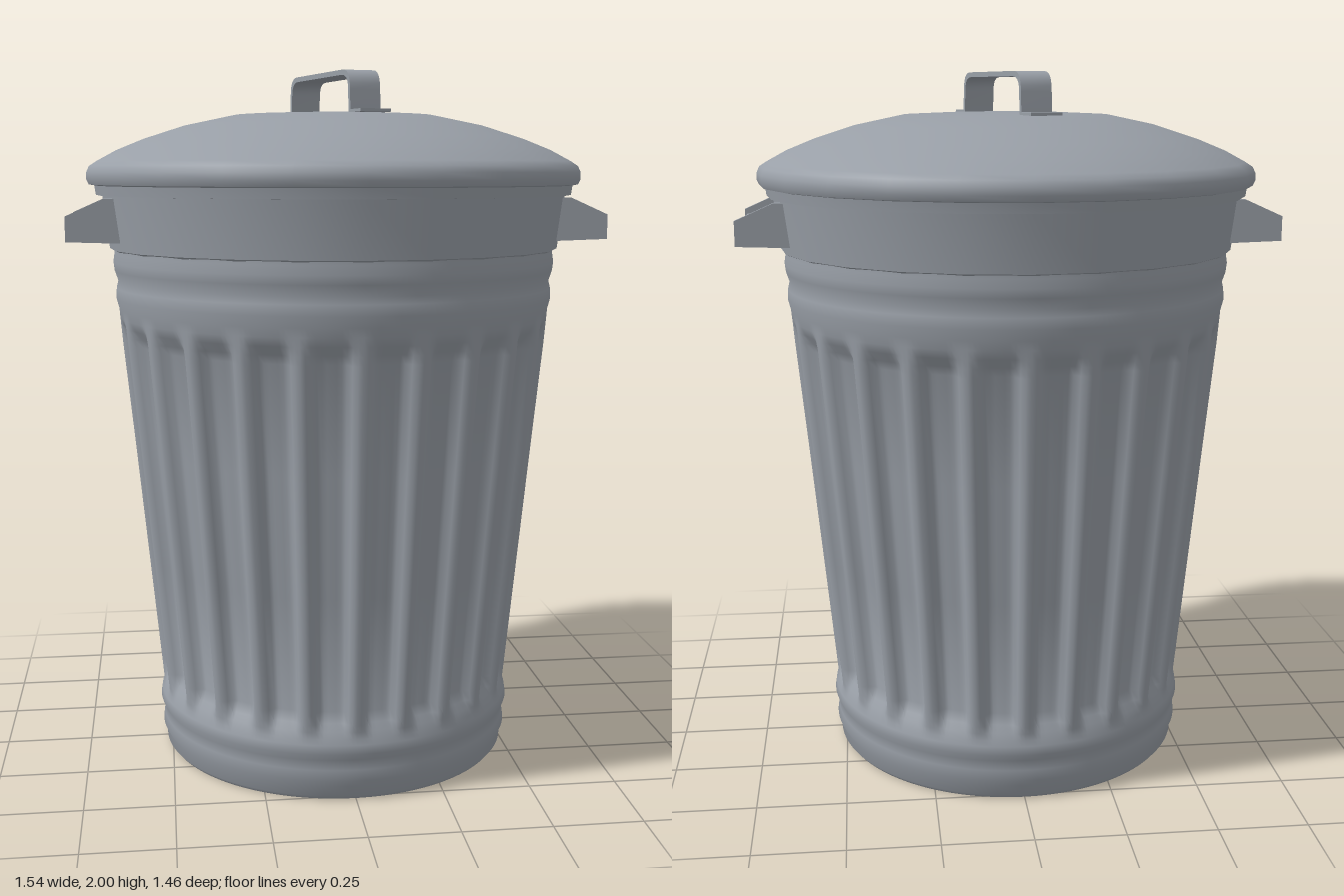
import * as THREE from 'three';
import { toCreasedNormals, mergeVertices } from 'three/addons/utils/BufferGeometryUtils.js';

const metal = new THREE.MeshStandardMaterial({ color: 0x999fa7 });
const RIBS = 24;

function addMesh(parent, name, geometry) {
  const mesh = new THREE.Mesh(geometry, metal);
  mesh.name = name;
  parent.add(mesh);
  return mesh;
}

// Turned part; profile is [radius, y] listed so that the outside faces out
function turned(profile, segments, crease) {
  const geo = new THREE.LatheGeometry(profile.map(([r, y]) => new THREE.Vector2(r, y)), segments);
  return toCreasedNormals(geo, crease);
}

// Body: turned wall with recessed panels between upright ribs
function flutedBody() {
  const profile = [
    [0.515, 0], [0.525, 0.012], [0.525, 0.04], [0.536, 0.06], [0.532, 0.09], [0.532, 0.12],
    [0.542, 0.14], [0.538, 0.165], [0.532, 0.18], [0.533, 0.2], [0.535, 0.22], [0.538, 0.25],
    [0.57, 0.58], [0.603, 0.92], [0.634, 1.23], [0.636, 1.255], [0.638, 1.28], [0.64, 1.305],
    [0.642, 1.33], [0.65, 1.36], [0.648, 1.39], [0.643, 1.41], [0.653, 1.44], [0.656, 1.465],
    [0.652, 1.49], [0.652, 1.51],
  ].map(([r, y]) => new THREE.Vector2(r, y));
  const geo = new THREE.LatheGeometry(profile, RIBS * 12);
  const p = geo.attributes.position;
  for (let i = 0; i < p.count; i++) {
    const x = p.getX(i), y = p.getY(i), z = p.getZ(i), r = Math.hypot(x, z);
    const t = Math.atan2(x, z) / (2 * Math.PI) * RIBS;
    const fromRib = Math.abs(t - Math.round(t));
    const panel = THREE.MathUtils.smoothstep(fromRib, 0.07, 0.29);
    const ends = THREE.MathUtils.smoothstep(y, 0.18, 0.25) * (1 - THREE.MathUtils.smoothstep(y, 1.23, 1.305));
    const k = (r - 0.036 * panel * ends) / r;
    p.setXYZ(i, x * k, y, z * k);
  }
  geo.deleteAttribute('uv');
  geo.deleteAttribute('normal');
  return toCreasedNormals(mergeVertices(geo, 1e-5), 0.9);
}

// Bent flat strap with feet, drawn as an outline and extruded across its width
function strapHandle() {
  const s = new THREE.Shape();
  const t = 0.014, w = 0.245, out = 0.318, h = 0.118, r = 0.055;
  s.moveTo(-out, 0);
  s.lineTo(-w + t, 0);
  s.lineTo(-w + t + 0.004, h - r);
  s.quadraticCurveTo(-w + t + 0.004, h - t, -w + r + t, h - t);
  s.lineTo(w - r - t, h - t);
  s.quadraticCurveTo(w - t - 0.004, h - t, w - t - 0.004, h - r);
  s.lineTo(w - t, 0);
  s.lineTo(out, 0);
  s.lineTo(out, t * 0.6);
  s.lineTo(w, t * 0.6);
  s.lineTo(w - 0.004, h - r);
  s.quadraticCurveTo(w - 0.004, h, w - r - 0.004, h);
  s.lineTo(-w + r + 0.004, h);
  s.quadraticCurveTo(-w + 0.004, h, -w + 0.004, h - r);
  s.lineTo(-w, t * 0.6);
  s.lineTo(-out, t * 0.6);
  s.closePath();
  const geo = new THREE.ExtrudeGeometry(s, { depth: 0.09, bevelEnabled: false, curveSegments: 6 });
  geo.translate(0, 0, -0.045).rotateY(Math.PI / 2);
  return toCreasedNormals(geo, 0.6);
}

// Side handle: two tapered brackets and a grip between them
function sideHandle(side) {
  const group = new THREE.Group();
  group.name = side > 0 ? 'leftHandle' : 'rightHandle';
  const plate = new THREE.Shape([
    [0.61, 1.525], [0.768, 1.53], [0.768, 1.6], [0.66, 1.648], [0.61, 1.648],
  ].map(([x, y]) => new THREE.Vector2(x, y)));
  for (const z of [-0.2, 0.2]) {
    const geo = new THREE.ExtrudeGeometry(plate, { depth: 0.024, bevelEnabled: false });
    addMesh(group, 'handleBracket', geo.translate(0, 0, z - 0.012));
  }
  const grip = addMesh(group, 'handleGrip', new THREE.BoxGeometry(0.07, 0.04, 0.38));
  grip.position.set(0.725, 1.567, 0);
  if (side < 0) group.rotation.y = Math.PI;
  return group;
}

export function createModel() {
  const model = new THREE.Group();
  model.name = 'trashCan';

  // Can and lid are very slightly narrower across x
  const round = new THREE.Group();
  round.name = 'canAndLid';
  round.scale.x = 0.983;
  model.add(round);

  addMesh(round, 'body', flutedBody());
  addMesh(round, 'base', new THREE.CircleGeometry(0.515, 72).rotateX(Math.PI / 2));
  addMesh(round, 'collar', turned([
    [0.645, 1.494], [0.665, 1.502], [0.684, 1.655], [0.62, 1.66],
  ], RIBS, 0.7));
  addMesh(round, 'lid', turned([
    [0.6, 1.652], [0.702, 1.655], [0.706, 1.682], [0.722, 1.685], [0.729, 1.7], [0.728, 1.72],
    [0.72, 1.737], [0.7, 1.75], [0.64, 1.782], [0.56, 1.814], [0.44, 1.852], [0.3, 1.881],
    [0.16, 1.887], [0, 1.888],
  ], RIBS, 0.75));

  const strap = addMesh(model, 'lidHandle', strapHandle());
  strap.position.y = 1.882;
  strap.rotation.y = 0.25;

  model.add(sideHandle(1), sideHandle(-1));
  return model;
}
